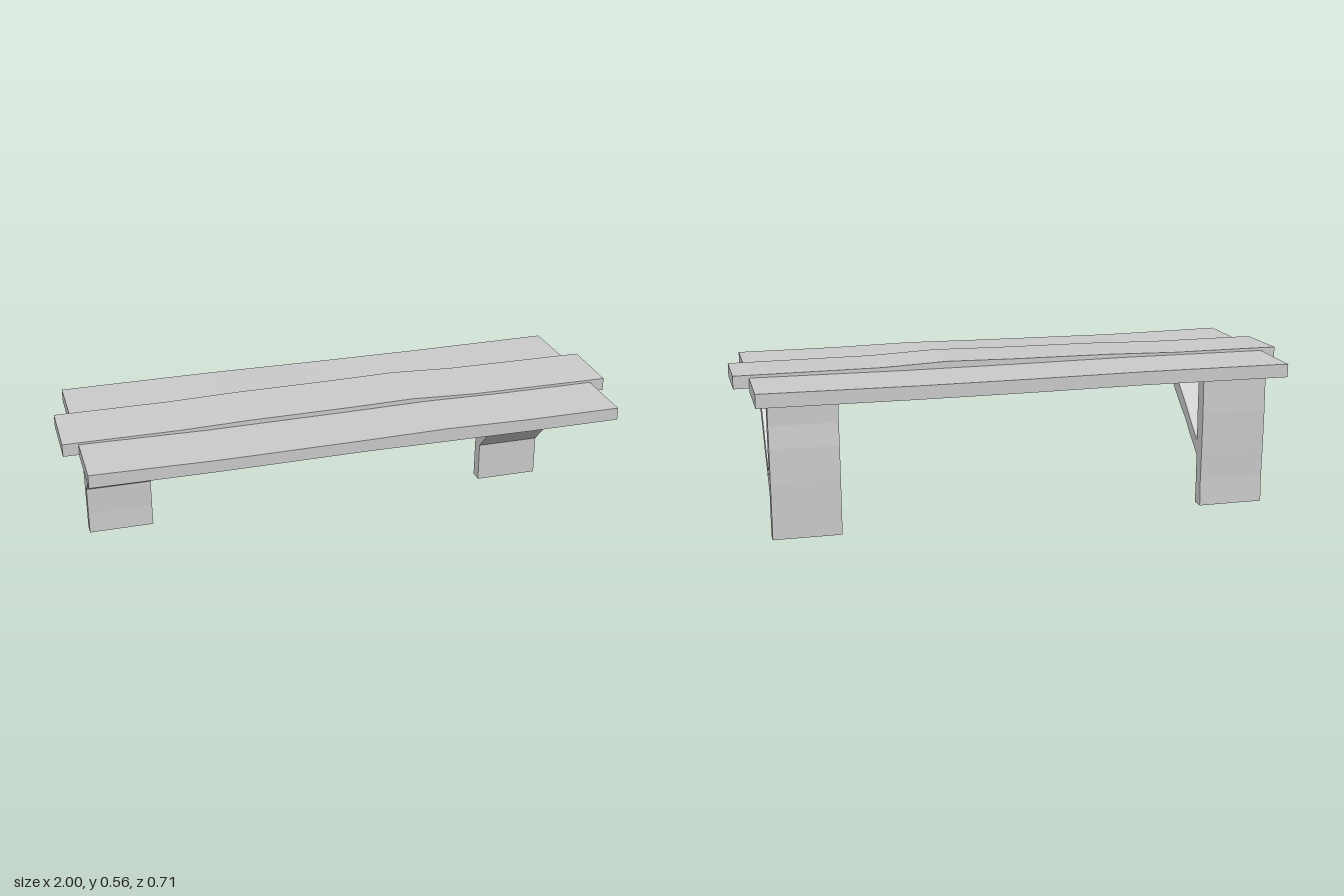
import * as THREE from 'three';

const material = new THREE.MeshStandardMaterial({ color: 0xcccccc, flatShading: true });

// Closed outline from an upper and a lower edge, both listed in the same direction
function outline(upper, lower) {
  const points = [...upper, ...[...lower].reverse()];
  return new THREE.Shape(points.map(([u, v]) => new THREE.Vector2(u, v)));
}

function extrude(shape, depth) {
  return new THREE.ExtrudeGeometry(shape, { depth, bevelEnabled: false });
}

function addMesh(group, name, geometry) {
  const mesh = new THREE.Mesh(geometry, material);
  mesh.name = name;
  group.add(mesh);
}

// Long board: warped side profile in x-y, given width in z, slight sideways tilt
function plank(upper, lower, z0, z1, tilt = 0) {
  const geometry = extrude(outline(upper, lower), z1 - z0);
  geometry.translate(0, 0, z0);
  const p = geometry.attributes.position;
  const mid = (z0 + z1) / 2;
  for (let i = 0; i < p.count; i++) p.setY(i, p.getY(i) + tilt * (p.getZ(i) - mid));
  geometry.computeVertexNormals();
  return geometry;
}

// Upright board: profile drawn as (z, y) and extruded along x
function sideBoard(upper, lower, x0, x1) {
  const geometry = extrude(outline(upper, lower), x1 - x0);
  geometry.rotateY(-Math.PI / 2);
  geometry.translate(x1, 0, 0);
  return geometry;
}

export function createModel() {
  const bench = new THREE.Group();
  bench.name = 'bench';

  // Seat planks
  addMesh(bench, 'frontPlank', plank(
    [[-0.945, 0.535], [-0.5, 0.53], [0, 0.534], [0.3, 0.538], [0.6, 0.533], [0.945, 0.533]],
    [[-0.945, 0.488], [-0.5, 0.487], [0, 0.491], [0.3, 0.489], [0.6, 0.487], [0.945, 0.488]],
    0.116, 0.357, -0.005));
  addMesh(bench, 'middlePlank', plank(
    [[-1, 0.545], [-0.6, 0.545], [-0.35, 0.551], [0, 0.553], [0.25, 0.557], [0.48, 0.547], [1, 0.545]],
    [[-1, 0.5], [-0.6, 0.498], [-0.35, 0.502], [0, 0.503], [0.25, 0.505], [0.48, 0.5], [1, 0.499]],
    -0.117, 0.121, -0.02));
  addMesh(bench, 'backPlank', plank(
    [[-0.945, 0.536], [-0.4, 0.538], [0, 0.535], [0.4, 0.534], [0.945, 0.537]],
    [[-0.945, 0.488], [-0.4, 0.49], [0, 0.487], [0.4, 0.486], [0.945, 0.488]],
    -0.357, -0.117, 0.005));

  // Legs: worn boards standing under the back plank
  const legs = {
    left: {
      x: [0.66, 0.9],
      front: [[-0.223, 0], [-0.223, 0.2], [-0.219, 0.26], [-0.213, 0.34], [-0.213, 0.49]],
      back: [[-0.271, 0], [-0.27, 0.2], [-0.266, 0.32], [-0.26, 0.4], [-0.26, 0.49]],
    },
    right: {
      x: [-0.9, -0.66],
      front: [[-0.223, 0], [-0.225, 0.08], [-0.223, 0.2], [-0.22, 0.35], [-0.22, 0.49]],
      back: [[-0.271, 0], [-0.268, 0.1], [-0.271, 0.2], [-0.272, 0.35], [-0.268, 0.49]],
    },
  };

  // Diagonal braces from the legs up to the middle of the seat
  const braces = {
    left: {
      upper: [[-0.23, 0.206], [-0.15, 0.28], [-0.1, 0.335], [-0.05, 0.388], [0, 0.437], [0.055, 0.502]],
      lower: [[-0.23, 0.143], [-0.15, 0.225], [-0.1, 0.27], [-0.05, 0.327], [0.04, 0.415], [0.12, 0.502]],
    },
    right: {
      upper: [[-0.23, 0.23], [-0.16, 0.29], [-0.1, 0.345], [-0.05, 0.385], [0, 0.43], [0.06, 0.502]],
      lower: [[-0.23, 0.177], [-0.15, 0.243], [-0.1, 0.29], [-0.05, 0.324], [0.1, 0.445], [0.147, 0.489]],
    },
  };

  for (const side of ['left', 'right']) {
    const { x, front, back } = legs[side];
    addMesh(bench, side + 'Leg', sideBoard(front, back, ...x));
    addMesh(bench, side + 'Brace', sideBoard(braces[side].upper, braces[side].lower, ...x));
  }
  return bench;
}
